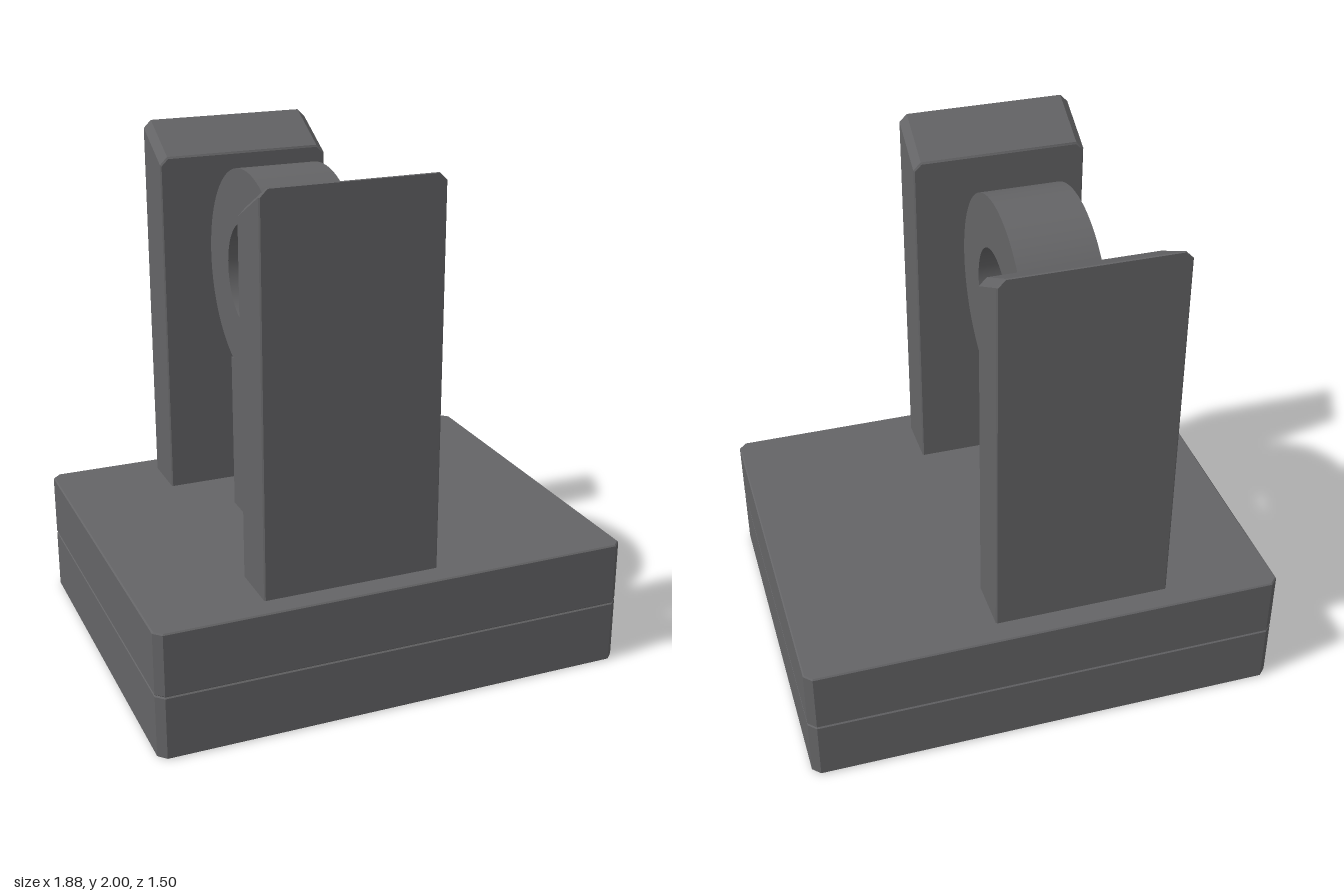
import * as THREE from 'three';
import { toCreasedNormals } from 'three/addons/utils/BufferGeometryUtils.js';

const BEVEL = 0.005;

// Extrude along +z from 0 to depth, with an optional fine edge bevel inside the outline
function extrude(shape, depth, bevel = 0) {
  const geometry = new THREE.ExtrudeGeometry(shape, {
    depth: depth - 2 * bevel,
    bevelEnabled: bevel > 0,
    bevelSize: bevel,
    bevelThickness: bevel,
    bevelOffset: -bevel,
    bevelSegments: 1,
    curveSegments: 48,
  });
  return geometry.translate(0, 0, bevel);
}

const polygon = (points) => new THREE.Shape(points.map(([x, y]) => new THREE.Vector2(x, y)));

export function createModel() {
  const model = new THREE.Group();
  const grey = new THREE.MeshStandardMaterial({ color: 0x646466 });
  grey.name = 'dark grey';

  function add(name, geometry, x = 0, y = 0, z = 0) {
    const mesh = new THREE.Mesh(toCreasedNormals(geometry, 0.5), grey);
    mesh.name = name;
    mesh.position.set(x, y, z);
    model.add(mesh);
    return mesh;
  }

  // Two stacked base slabs with cut corners
  const W = 0.9375, D = 0.75, C = 0.03;
  const slab = polygon([
    [-W + C, -D], [W - C, -D], [W, -D + C], [W, D - C],
    [W - C, D], [-W + C, D], [-W, D - C], [-W, -D + C],
  ]);
  const slabGeometry = extrude(slab, 0.25, BEVEL).rotateX(-Math.PI / 2);
  add('lowerBase', slabGeometry);
  add('upperBase', slabGeometry, 0, 0.25);

  // Upright side plates: cut top corners, top sloping down towards the ring
  const H = 0.3435, thickness = 0.215, slope = 0.115 / thickness;
  const plate = polygon([
    [-H, 0.47], [H, 0.47], [H, 1.97], [H - C, 2], [-H + C, 2], [-H, 1.97],
  ]);
  const plateGeometry = extrude(plate, thickness, BEVEL);
  const p = plateGeometry.attributes.position;
  for (let i = 0; i < p.count; i++) {
    if (p.getY(i) > 1) p.setY(i, p.getY(i) - slope * (thickness - p.getZ(i)));
  }
  add('frontPlate', plateGeometry, -0.157, 0, 0.442);
  add('backPlate', plateGeometry, -0.157, 0, -0.442).rotation.y = Math.PI;

  // Ring, with its axis along x
  const ring = new THREE.Shape().absarc(0, 0, 0.407, 0, Math.PI * 2);
  ring.holes.push(new THREE.Path().absarc(0, 0, 0.202, 0, Math.PI * 2, true));
  add('ring', extrude(ring, 0.3135).rotateY(Math.PI / 2), -0.3135, 1.505, 0);

  // Stem: its top follows the ring so both end faces meet flush
  const half = 0.1875, shoulder = 1.13, reach = 0.158;
  const a = Math.atan2(shoulder - 1.505, reach);
  const stem = new THREE.Shape();
  stem.moveTo(-half, 0.48);
  stem.lineTo(half, 0.48);
  stem.lineTo(half, shoulder);
  stem.lineTo(reach, shoulder);
  stem.absarc(0, 1.505, 0.405, a, -Math.PI - a, true);
  stem.lineTo(-half, shoulder);
  add('stem', extrude(stem, 0.3135).rotateY(Math.PI / 2), -0.3135);

  return model;
}
